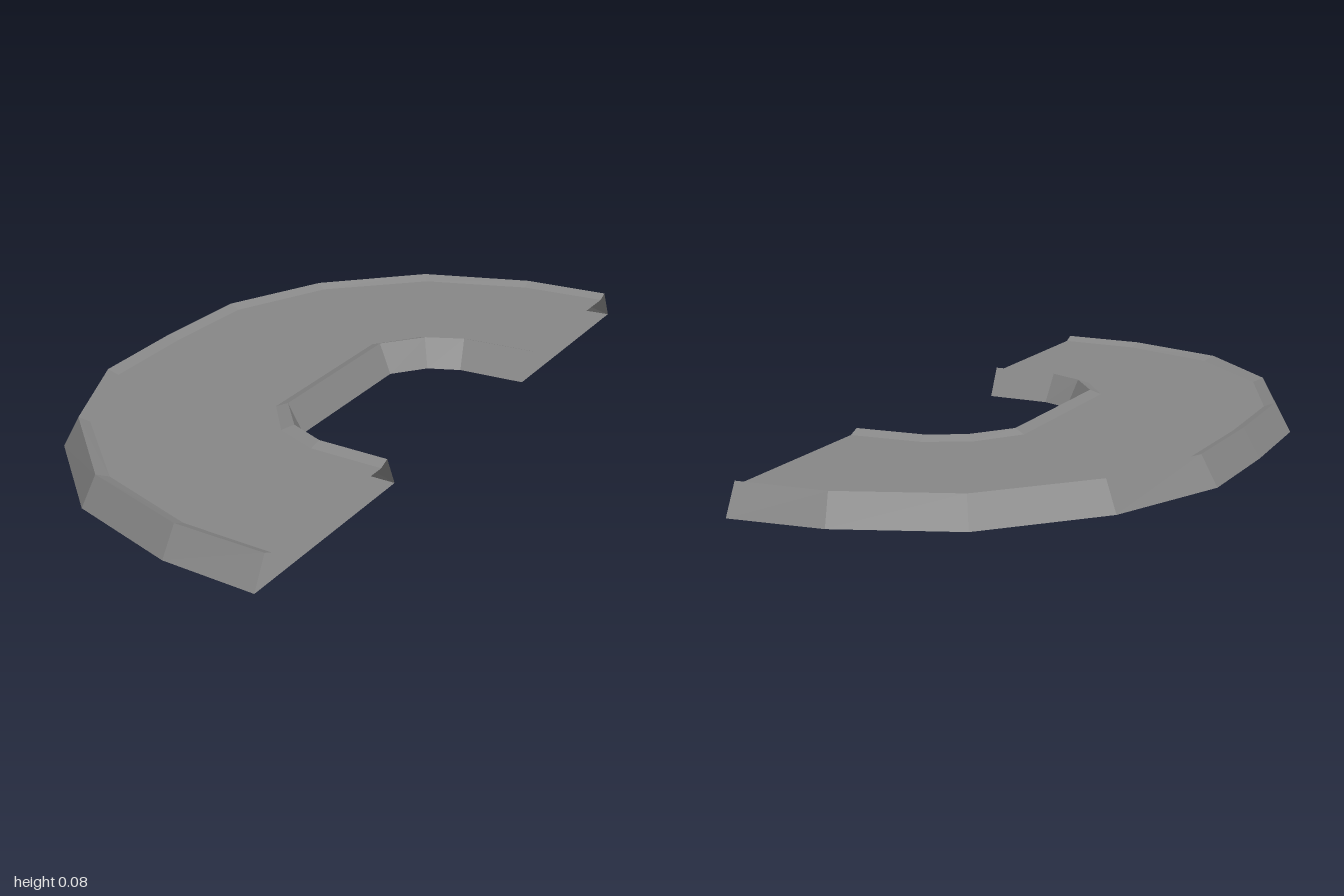
import * as THREE from 'three';

// Each ring is half a plan outline as [x, z], from the cut end (-z) to the middle.
const outerBase = [[0.485, -1], [0.23, -0.98], [-0.08, -0.87], [-0.335, -0.615], [-0.475, -0.305], [-0.485, 0]];
const outerRidge = [[0.485, -0.958], [0.24, -0.945], [-0.06, -0.838], [-0.3, -0.595], [-0.43, -0.3], [-0.44, 0]];
const outerLip = [[0.485, -0.93], [0.245, -0.915], [-0.04, -0.81], [-0.275, -0.58], [-0.4, -0.295], [-0.41, 0]];
const innerLip = [[0.485, -0.44], [0.285, -0.43], [0.165, -0.375], [0.075, -0.255], [0.075, 0]];
const innerRidge = [[0.485, -0.41], [0.29, -0.4], [0.19, -0.353], [0.105, -0.245], [0.105, 0]];
const innerBase = [[0.485, -0.37], [0.3, -0.362], [0.215, -0.325], [0.145, -0.235], [0.145, 0]];

const RIDGE_Y = 0.08, TOP_Y = 0.068;

// Mirror a half outline across z = 0
function mirror(half) {
  return [...half, ...half.slice(0, -1).reverse().map(([x, z]) => [x, -z])];
}

// Flat-faced strip joining two outlines at different heights
function band(halfA, yA, halfB, yB) {
  const a = mirror(halfA), b = mirror(halfB), pos = [];
  for (let i = 0; i < a.length - 1; i++) {
    const p = [a[i][0], yA, a[i][1]], q = [a[i + 1][0], yA, a[i + 1][1]];
    const r = [b[i + 1][0], yB, b[i + 1][1]], s = [b[i][0], yB, b[i][1]];
    pos.push(...p, ...q, ...r, ...p, ...r, ...s);
  }
  const geo = new THREE.BufferGeometry();
  geo.setAttribute('position', new THREE.Float32BufferAttribute(pos, 3));
  geo.computeVertexNormals();
  return geo;
}

// Horizontal half-ring plate facing up (1) or down (-1)
function plate(outer, inner, y, facing) {
  const points = [...mirror(outer), ...mirror(inner).reverse()];
  const shape = new THREE.Shape(points.map(([x, z]) => new THREE.Vector2(x, z)));
  return new THREE.ShapeGeometry(shape).rotateX(-facing * Math.PI / 2).translate(0, y, 0);
}

export function createModel() {
  const group = new THREE.Group();
  const stone = new THREE.MeshStandardMaterial({ color: 0x888888, side: THREE.DoubleSide, flatShading: true });
  stone.name = 'grey';

  const add = (name, geo) => {
    const mesh = new THREE.Mesh(geo, stone);
    mesh.name = name;
    group.add(mesh);
  };

  // Sloped outer wall and its raised lip
  add('outerWall', band(outerBase, 0, outerRidge, RIDGE_Y));
  add('outerLip', band(outerRidge, RIDGE_Y, outerLip, TOP_Y));
  // Slightly sunken top, and the underside; the cut ends stay open
  add('topSurface', plate(outerLip, innerLip, TOP_Y, 1));
  add('underside', plate(outerBase, innerBase, 0, -1));
  // Raised lip and sloped wall around the recess
  add('innerLip', band(innerLip, TOP_Y, innerRidge, RIDGE_Y));
  add('innerWall', band(innerRidge, RIDGE_Y, innerBase, 0));

  return group;
}
